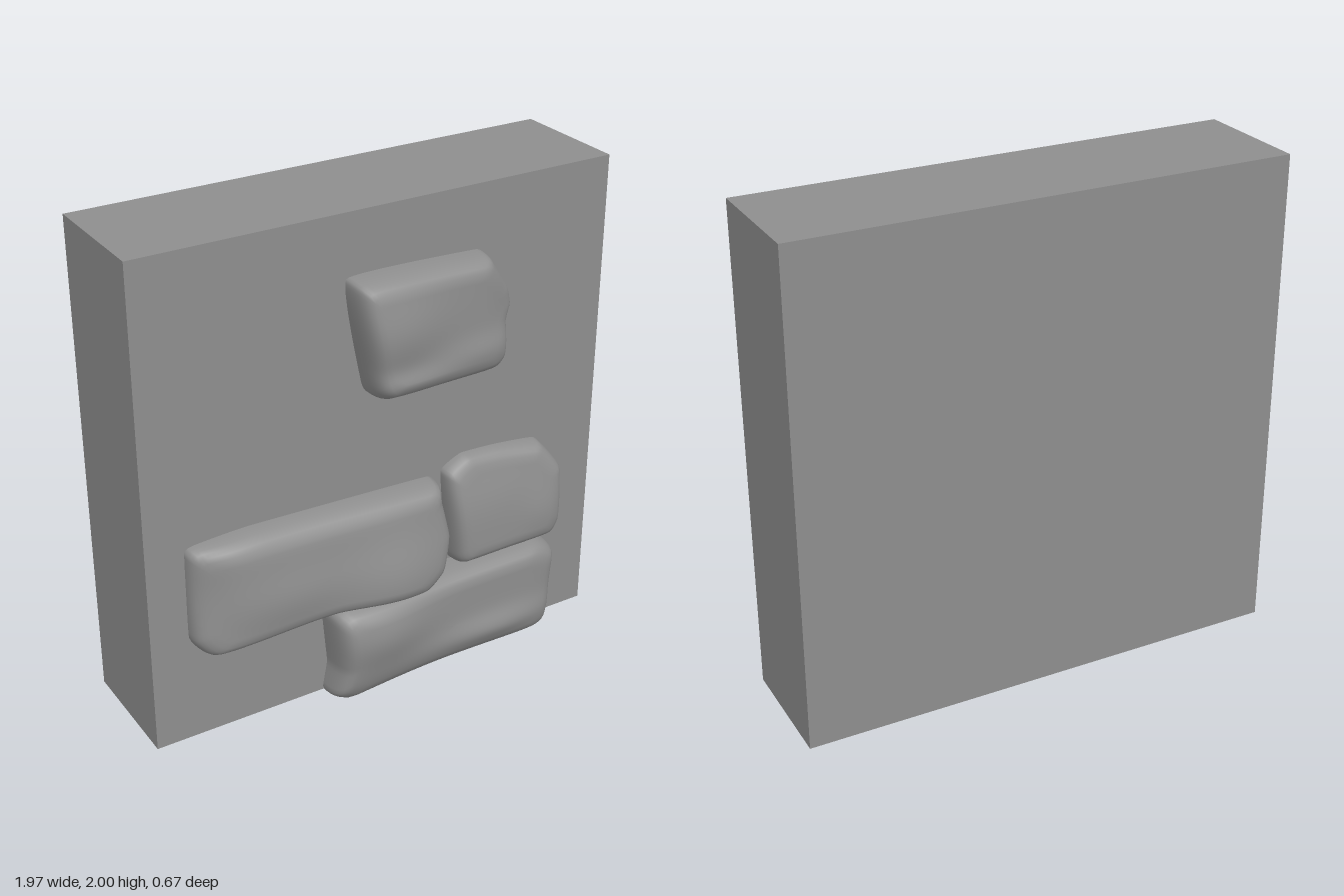
import * as THREE from 'three';

const material = new THREE.MeshStandardMaterial({ color: 0x8e8e8e });
const BACK = 0.11; // stones are sunk a little into the wall
const SEGMENTS = 144;
const EDGE_STEPS = 8;
const FACE_STEPS = 14;
const BEVEL = 0.07;

// Rings as [x scale, y scale, depth share]: back centre, rounded edge, then the face closing to its centre
function ringProfile(size) {
  const rings = [[0, 0, 0]];
  for (let i = 0; i <= EDGE_STEPS; i++) {
    const t = i / EDGE_STEPS;
    const inset = 2 * BEVEL * t ** 3;
    rings.push([1 - inset / size.x, 1 - inset / size.y, Math.sin(t * Math.PI / 2)]);
  }
  const [edgeX, edgeY] = rings[EDGE_STEPS + 1];
  for (let i = FACE_STEPS - 1; i >= 0; i--) {
    rings.push([edgeX * i / FACE_STEPS, edgeY * i / FACE_STEPS, 1]);
  }
  return rings;
}

// Loft of a stone: the outline runs clockwise from the top left, face is the z of its front,
// and each bump is { at: [x, y], size: [x, y], height }
function makeStone(name, outline, face, bumps) {
  const points = outline.map(([x, y]) => new THREE.Vector3(x, y, 0)).reverse();
  const loop = new THREE.CatmullRomCurve3(points, true, 'catmullrom', 0.15).getSpacedPoints(SEGMENTS).slice(0, SEGMENTS);
  const box = new THREE.Box3().setFromPoints(loop);
  const mid = box.getCenter(new THREE.Vector3());
  const rings = ringProfile(box.getSize(new THREE.Vector3()));

  const frontAt = (x, y) => bumps.reduce((z, { at, size, height }) => {
    const dx = (x - at[0]) / size[0];
    const dy = (y - at[1]) / size[1];
    return z + height * Math.exp(-dx * dx - dy * dy);
  }, face);

  const positions = [];
  const index = [];
  rings.forEach(([sx, sy, depth], i) => {
    loop.forEach((p, j) => {
      const x = mid.x + (p.x - mid.x) * sx;
      const y = mid.y + (p.y - mid.y) * sy;
      positions.push(x, y, BACK + (frontAt(x, y) - BACK) * depth);
      if (i === 0) return;
      const k = (j + 1) % SEGMENTS;
      const a = (i - 1) * SEGMENTS + j;
      const b = (i - 1) * SEGMENTS + k;
      const c = i * SEGMENTS + k;
      const d = i * SEGMENTS + j;
      if (i > 1) index.push(a, b, c);
      if (i < rings.length - 1) index.push(a, c, d);
    });
  });
  const geometry = new THREE.BufferGeometry();
  geometry.setAttribute('position', new THREE.Float32BufferAttribute(positions, 3));
  geometry.setIndex(index);
  geometry.computeVertexNormals();
  const mesh = new THREE.Mesh(geometry, material);
  mesh.name = name;
  return mesh;
}

export function createModel() {
  const group = new THREE.Group();
  group.name = 'stoneWall';

  // Plain wall slab
  const wall = new THREE.Mesh(new THREE.BoxGeometry(1.965, 1.96, 0.49), material);
  wall.name = 'wall';
  wall.position.set(0, 1.02, -0.093);
  group.add(wall);

  // Single stone high on the wall
  group.add(makeStone('upperStone',
    [[-0.155, 1.755], [0.39, 1.75], [0.43, 1.72], [0.515, 1.6], [0.53, 1.53], [0.505, 1.47], [0.495, 1.32],
      [0.44, 1.285], [-0.05, 1.285], [-0.095, 1.34]],
    0.275, [
      { at: [-0.02, 1.55], size: [0.2, 0.15], height: 0.035 },
      { at: [0.02, 1.35], size: [0.2, 0.05], height: 0.025 },
      { at: [0.35, 1.4], size: [0.2, 0.06], height: 0.015 },
      { at: [0.53, 1.6], size: [0.1, 0.3], height: -0.05 },
    ]));

  // Long stone on the second course
  group.add(makeStone('longStone',
    [[-0.83, 0.855], [-0.78, 0.875], [-0.57, 0.885], [0.2, 0.86], [0.225, 0.8], [0.26, 0.63], [0.23, 0.48],
      [0.14, 0.415], [-0.26, 0.44], [-0.76, 0.41], [-0.83, 0.49]],
    0.265, [
      { at: [0, 0.51], size: [0.24, 0.2], height: 0.06 },
      { at: [-0.45, 0.6], size: [0.25, 0.12], height: 0.02 },
      { at: [-0.85, 0.68], size: [0.13, 0.3], height: -0.06 },
      { at: [-0.3, 0.9], size: [0.6, 0.07], height: -0.03 },
    ]));

  // Small stone beside it
  group.add(makeStone('smallStone',
    [[0.26, 0.865], [0.35, 0.92], [0.5, 0.915], [0.7, 0.89], [0.795, 0.77], [0.795, 0.53], [0.75, 0.465],
      [0.33, 0.455], [0.295, 0.5]],
    0.26, [
      { at: [0.4, 0.93], size: [0.4, 0.17], height: -0.05 },
      { at: [0.68, 0.6], size: [0.1, 0.12], height: 0.015 },
    ]));

  // Bottom stone, reaching just below the slab
  group.add(makeStone('bottomStone',
    [[-0.27, 0.41], [-0.22, 0.45], [0.67, 0.455], [0.78, 0.39], [0.755, 0.07], [0.7, 0.035], [0.25, 0.02],
      [-0.2, 0.002], [-0.27, 0.045], [-0.25, 0.17]],
    0.28, [
      { at: [-0.08, 0.31], size: [0.22, 0.15], height: 0.05 },
      { at: [0.45, 0.16], size: [0.25, 0.06], height: 0.025 },
      { at: [0.2, 0], size: [0.5, 0.08], height: -0.05 },
      { at: [0.8, 0.2], size: [0.1, 0.3], height: -0.03 },
    ]));
  return group;
}
